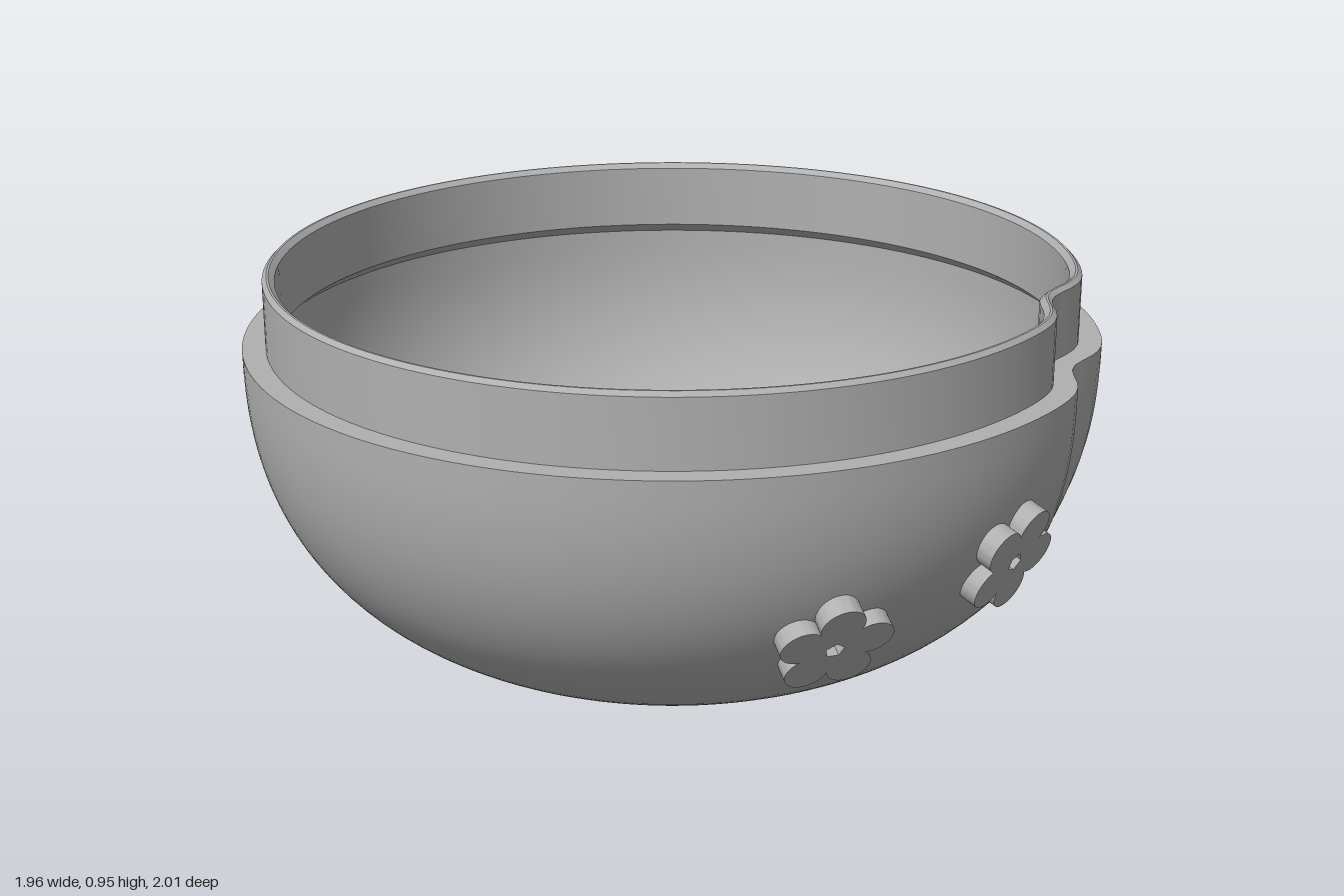
import * as THREE from 'three';
import { mergeVertices, toCreasedNormals } from 'three/addons/utils/BufferGeometryUtils.js';

const CX = 0.01, CZ = 0.01;   // bowl axis
const RIM = 0.99, RIM_Y = 0.79;
const POWER = 2 / 2.4;        // fuller than an ellipse

// Rounded bowl profile from the bottom centre up to the rim
function bowlProfile(radius, height, topY, steps = 40) {
  const pts = [];
  for (let i = 0; i <= steps; i++) {
    const t = (i / steps) * Math.PI / 2;
    const c = i === steps ? 0 : Math.cos(t);
    pts.push([radius * Math.sin(t) ** POWER, topY - height * c ** POWER]);
  }
  return pts;
}

// Finger notch on the +x side, fading out towards the base
function pressNotch(geo) {
  const p = geo.attributes.position;
  for (let i = 0; i < p.count; i++) {
    const x = p.getX(i), y = p.getY(i), z = p.getZ(i);
    const r = Math.hypot(x, z);
    if (x <= 0 || r < 1e-4) continue;
    const fade = THREE.MathUtils.smoothstep(y, 0.25, 0.79);
    const k = 1 - 0.055 * fade * Math.exp(-(((z - 0.02) / 0.11) ** 2)) / r;
    p.setXYZ(i, x * k, y, z * k);
  }
}

// Smooth ring of surface turned from a profile
function turned(name, profile, material) {
  let geo = new THREE.LatheGeometry(profile.map(([r, y]) => new THREE.Vector2(r, y)), 160);
  pressNotch(geo);
  geo.deleteAttribute('normal');
  geo.deleteAttribute('uv');
  geo = mergeVertices(geo, 1e-5);
  geo.computeVertexNormals();
  const mesh = new THREE.Mesh(geo, material);
  mesh.name = name;
  mesh.position.set(CX, 0, CZ);
  return mesh;
}

// Five round petals with a small pentagonal hole
function flowerGeometry() {
  const shape = new THREE.Shape();
  const sweep = THREE.MathUtils.degToRad(112);
  for (let i = 0; i < 5; i++) {
    const a = i * Math.PI * 2 / 5;
    shape.absarc(0.082 * Math.cos(a), 0.082 * Math.sin(a), 0.0495, a - sweep, a + sweep, false);
  }
  const hole = new THREE.Path();
  for (let i = 0; i < 5; i++) {
    const a = -i * Math.PI * 2 / 5;
    hole[i ? 'lineTo' : 'moveTo'](0.022 * Math.cos(a), 0.022 * Math.sin(a));
  }
  hole.closePath();
  shape.holes.push(hole);
  const geo = new THREE.ExtrudeGeometry(shape, { depth: 0.055, bevelEnabled: false, curveSegments: 14 });
  geo.translate(0, 0, -0.025);
  return toCreasedNormals(geo, 0.6);
}

export function createModel() {
  const model = new THREE.Group();
  model.name = 'flowerBowl';
  const grey = new THREE.MeshStandardMaterial({ color: 0xb0b0b0 });
  grey.name = 'grey';

  // Bowl and stepped lip, one mesh per smooth section
  const sections = {
    bowlOutside: bowlProfile(RIM, RIM_Y, RIM_Y),
    rimLedge: [[RIM, RIM_Y], [0.937, RIM_Y]],
    lipOutside: [[0.937, RIM_Y], [0.937, 0.87], [0.937, 0.945]],
    lipOuterChamfer: [[0.937, 0.945], [0.927, 0.955]],
    lipTop: [[0.927, 0.955], [0.922, 0.955]],
    lipInnerChamfer: [[0.922, 0.955], [0.909, 0.943]],
    lipInside: [[0.909, 0.943], [0.909, 0.87], [0.909, 0.79]],
    lipUndercut: [[0.909, 0.79], [0.94, 0.765]],
    bowlInside: bowlProfile(0.94, 0.715, 0.765).reverse(),
  };
  for (const [name, profile] of Object.entries(sections)) model.add(turned(name, profile, grey));

  // Raised flowers: direction x, z, height and roll in degrees
  const petals = flowerGeometry();
  const flowers = [
    [0.57, 0.72, 0.38, 90],
    [0.87, 0.40, 0.48, 70],
    [0.76, -0.55, 0.45, 54],
    [-0.01, -0.95, 0.51, 100],
    [-0.86, 0.06, 0.36, 90],
  ];
  for (const [dx, dz, y, roll] of flowers) {
    const az = Math.atan2(dx - CX, dz - CZ);
    const v = (RIM_Y - y) / RIM_Y;
    const u = (1 - v ** 2.4) ** (1 / 2.4);
    const nr = u ** 1.4 / RIM, ny = -(v ** 1.4) / RIM_Y;
    const normal = new THREE.Vector3(nr * Math.sin(az), ny, nr * Math.cos(az)).normalize();
    const flower = new THREE.Mesh(petals, grey);
    flower.name = 'flower';
    flower.position.set(CX + RIM * u * Math.sin(az), y, CZ + RIM * u * Math.cos(az));
    flower.lookAt(flower.position.clone().add(normal));
    flower.rotateZ(THREE.MathUtils.degToRad(roll));
    model.add(flower);
  }
  return model;
}
